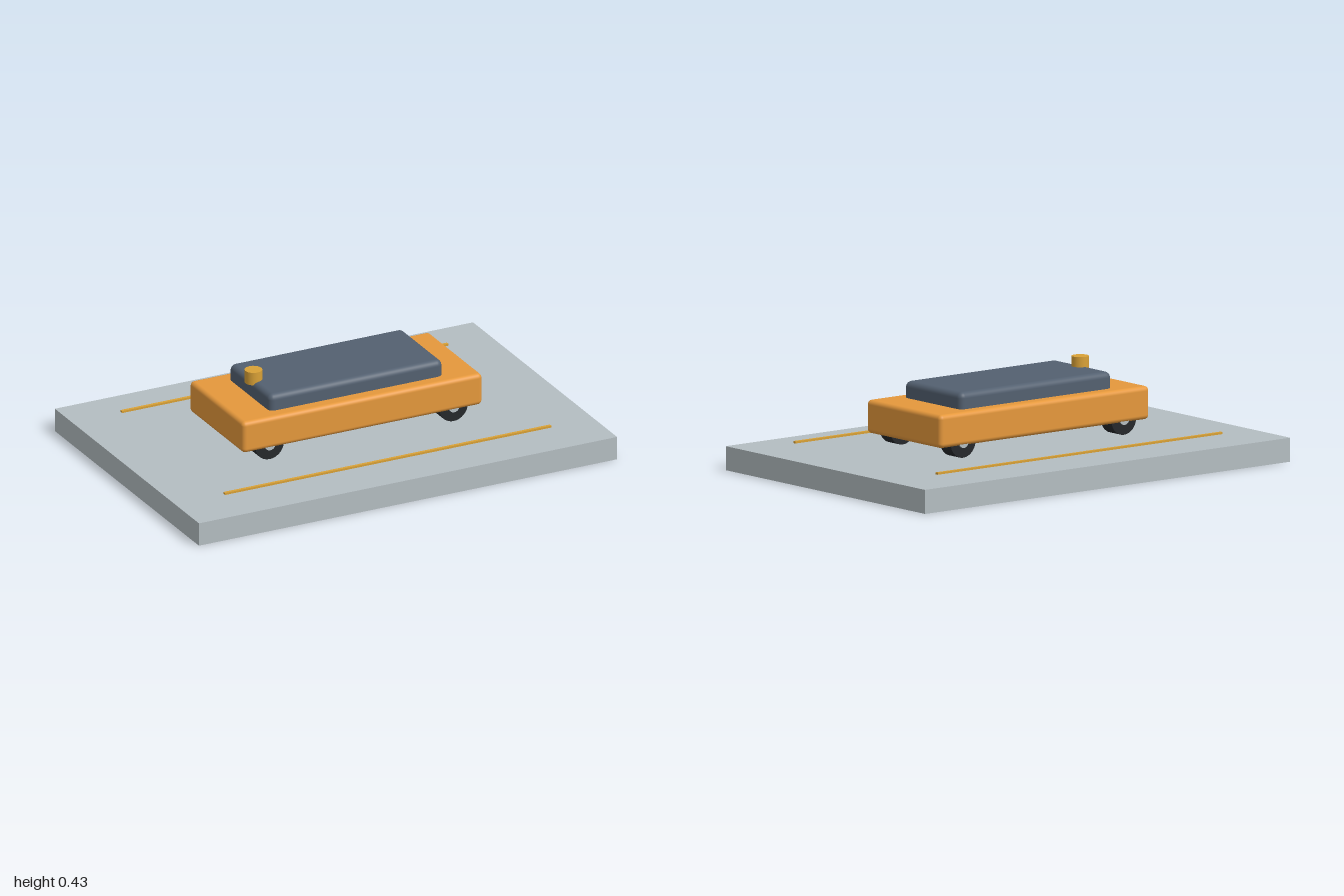
import * as THREE from 'three';
import { RoundedBoxGeometry } from 'three/addons/geometries/RoundedBoxGeometry.js';

const paint = (color) => new THREE.MeshStandardMaterial({ color });

export function createModel() {
  const model = new THREE.Group();
  model.name = 'vehicleOnPlinth';

  const orange = paint(0xe5983c);
  const slate = paint(0x536070);
  const stone = paint(0xb4bdc1);
  const rubber = paint(0x25282b);
  const metal = paint(0xb4bdc1);
  const teal = paint(0x2fa9bd);
  const amber = paint(0xd9a136);

  const add = (name, geometry, material, x, y, z, parent = model) => {
    const mesh = new THREE.Mesh(geometry, material);
    mesh.name = name;
    mesh.position.set(x, y, z);
    parent.add(mesh);
    return mesh;
  };
  // Cylinder lying along z
  const roller = (radius, length, sides = 32) =>
    new THREE.CylinderGeometry(radius, radius, length, sides).rotateX(Math.PI / 2);

  // Plinth with two thin guide strips hovering just above it
  add('plinth', new THREE.BoxGeometry(2, 0.104, 1.352), stone, 0, 0.052, 0);
  for (const side of [-1, 1]) {
    add('guideStrip', new THREE.BoxGeometry(1.56, 0.009, 0.014), amber, 0, 0.123, side * 0.483);
  }

  // Body, upper deck and beacon
  add('body', new RoundedBoxGeometry(1.148, 0.144, 0.506, 4, 0.02), orange, 0, 0.245, 0);
  add('upperDeck', new RoundedBoxGeometry(0.83, 0.13, 0.388, 4, 0.026), slate, 0, 0.324, 0);
  add('beacon', new THREE.CylinderGeometry(0.038, 0.038, 0.058, 32), amber, -0.395, 0.404, 0);

  // Two axles, each with a pair of wheels and hubs
  for (const x of [-0.44, 0.44]) {
    const wheelSet = new THREE.Group();
    wheelSet.name = 'wheelSet';
    wheelSet.position.set(x, 0.187, 0);
    model.add(wheelSet);
    add('axle', roller(0.031, 0.36), teal, 0, 0, 0, wheelSet);
    for (const side of [-1, 1]) {
      add('wheel', roller(0.068, 0.072), rubber, 0, 0, side * 0.205, wheelSet);
      add('hub', roller(0.025, 0.076), metal, 0, 0, side * 0.209, wheelSet);
    }
  }

  return model;
}
